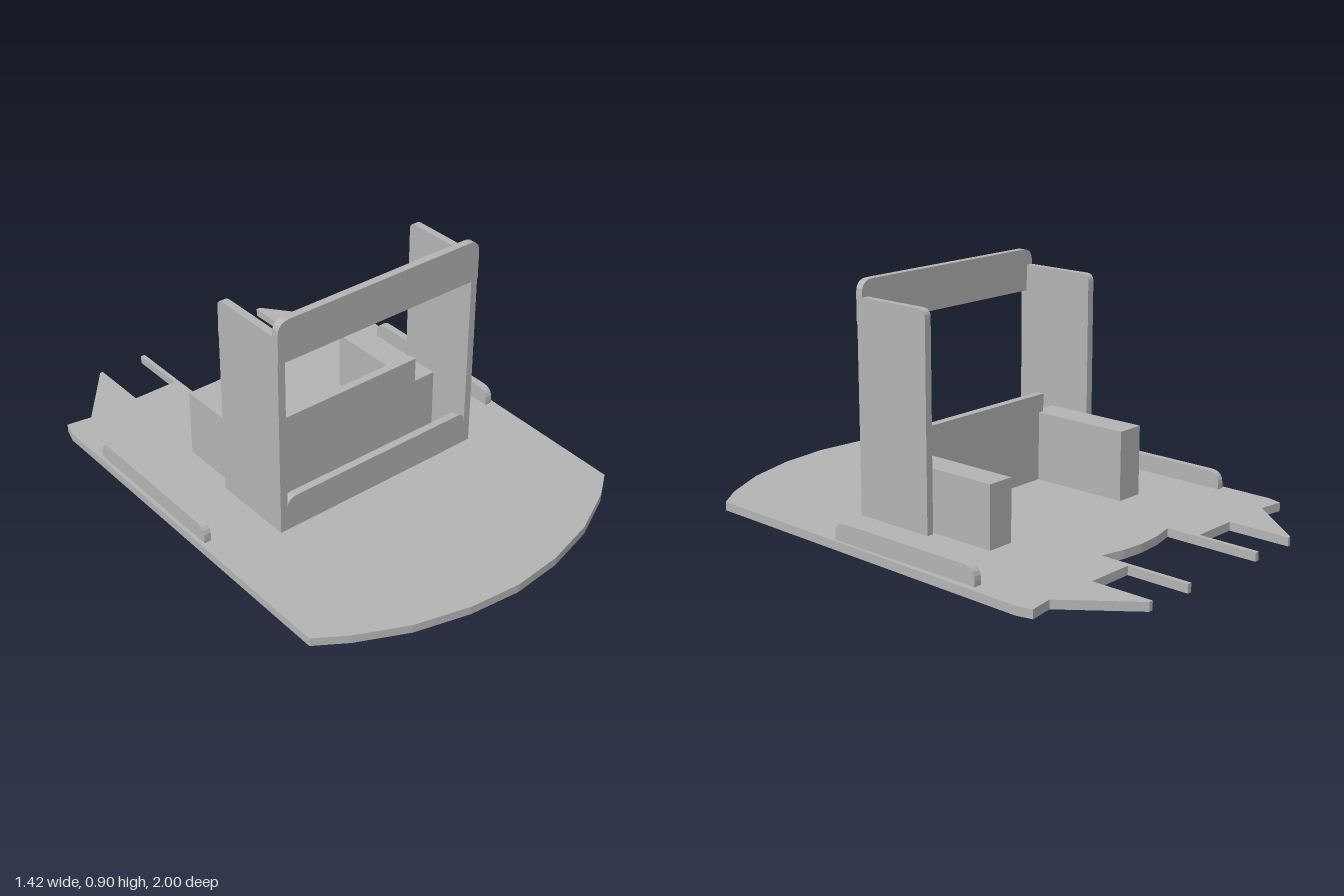
import * as THREE from 'three';

export function createModel() {
  const model = new THREE.Group();
  model.name = 'cabFloorAssembly';
  const grey = new THREE.MeshStandardMaterial({ color: 0xb4b4b4 });
  grey.name = 'plain grey';

  const add = (name, geometry) => {
    const mesh = new THREE.Mesh(geometry, grey);
    mesh.name = name;
    model.add(mesh);
  };
  const box = (name, x0, x1, y0, y1, z0, z1) => {
    const g = new THREE.BoxGeometry(x1 - x0, y1 - y0, z1 - z0);
    add(name, g.translate((x0 + x1) / 2, (y0 + y1) / 2, (z0 + z1) / 2));
  };
  const extrude = (shape, depth) =>
    new THREE.ExtrudeGeometry(shape, { depth, bevelEnabled: false, curveSegments: 5 });

  // Rectangle with its two upper corners rounded by radii ra (low end) and rb (high end)
  const roundTop = (a0, a1, y0, y1, ra, rb) => {
    const s = new THREE.Shape();
    s.moveTo(a0, y0);
    s.lineTo(a1, y0);
    s.lineTo(a1, y1 - rb);
    if (rb) s.quadraticCurveTo(a1, y1, a1 - rb, y1);
    s.lineTo(a0 + ra, y1);
    if (ra) s.quadraticCurveTo(a0, y1, a0, y1 - ra);
    return s;
  };
  // Upright sheet seen from the side, filling x0..x1
  const sidePlate = (name, shape, x0, x1) =>
    add(name, extrude(shape, x1 - x0).rotateY(-Math.PI / 2).translate(x1, 0, 0));

  // Floor plate: curved front, forked rear and two thin prongs, as [x, z]
  const outline = [
    [-0.715, 0.76], [-0.6, 0.835], [-0.41, 0.925], [-0.2, 0.98], [0, 1], [0.2, 0.98],
    [0.4, 0.925], [0.58, 0.835], [0.68, 0.76], [0.71, -0.71], [0.695, -0.77],
    [0.6, -0.755], [0.405, -1], [0.388, -1], [0.388, -0.755], [0.2, -0.755],
    [0.2, -1], [0.182, -1], [0.182, -0.63], [0.09, -0.652], [0, -0.66],
    [-0.1, -0.652], [-0.19, -0.63], [-0.19, -1], [-0.208, -1], [-0.208, -0.755],
    [-0.393, -0.755], [-0.393, -1], [-0.405, -1], [-0.6, -0.755], [-0.698, -0.77],
    [-0.715, -0.71],
  ];
  const floor = new THREE.Shape(outline.map(([x, z]) => new THREE.Vector2(x, -z)));
  add('floorPlate', extrude(floor, 0.033).rotateX(-Math.PI / 2));

  // Low side rails with rounded ends
  const rail = roundTop(-0.51, 0.152, 0.03, 0.1, 0.05, 0.05);
  sidePlate('leftRail', rail, 0.652, 0.682);
  sidePlate('rightRail', rail, -0.7, -0.672);

  // Upright frame: two side panels, top beam and lower front panel
  const upright = roundTop(-0.06, 0.275, 0.03, 0.84, 0.03, 0);
  sidePlate('leftUpright', upright, 0.415, 0.443);
  sidePlate('rightUpright', upright, -0.457, -0.427);
  const beam = roundTop(-0.457, 0.443, 0.74, 0.902, 0.05, 0.05);
  add('topBeam', extrude(beam, 0.03).translate(0, 0, 0.248));
  const lower = roundTop(-0.427, 0.415, 0.03, 0.168, 0.04, 0.04);
  add('lowerFrontPanel', extrude(lower, 0.03).translate(0, 0, 0.245));

  // Low consoles joined by a taller cross panel
  box('rightConsole', -0.423, -0.31, 0.03, 0.302, -0.32, 0.11);
  box('leftConsole', 0.295, 0.403, 0.03, 0.27, -0.32, 0.11);
  box('crossPanel', -0.335, 0.307, 0.03, 0.372, 0.08, 0.112);

  return model;
}
